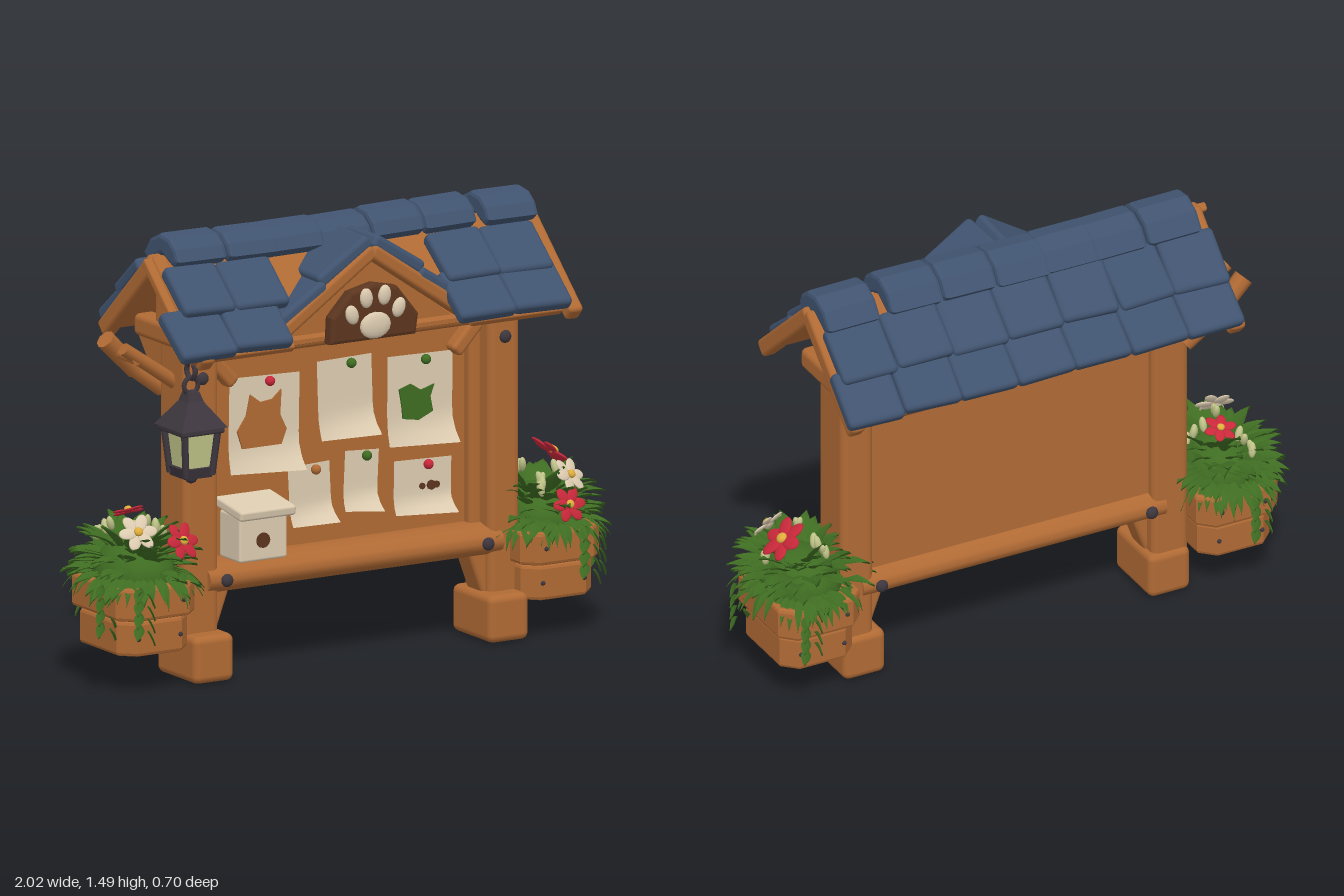
import * as THREE from 'three';
import { mergeGeometries } from 'three/addons/utils/BufferGeometryUtils.js';
import { RoundedBoxGeometry } from 'three/addons/geometries/RoundedBoxGeometry.js';

const paint = (name, color, side = THREE.FrontSide) => {
  const m = new THREE.MeshStandardMaterial({ color, side });
  m.name = name;
  return m;
};
const wood = paint('wood', 0xb06a34), slate = paint('slate', 0x40536f), darkWood = paint('dark wood', 0x5c361f);
const iron = paint('iron', 0x3d363e), cream = paint('cream', 0xdccbb0, THREE.DoubleSide);
const glass = paint('pale glass', 0xc0c488), green = paint('leaf green', 0x3f6d22, THREE.DoubleSide);
const red = paint('red', 0xc9283a), yellow = paint('yellow', 0xe0ae3c);

let seed = 7;
const rnd = (a = 0, b = 1) => {
  seed = (seed * 16807) % 2147483647;
  return a + (b - a) * seed / 2147483647;
};
const V = (x, y, z) => new THREE.Vector3(x, y, z);

function add(parent, name, geo, mat, x = 0, y = 0, z = 0, rx = 0, ry = 0, rz = 0) {
  const m = new THREE.Mesh(geo, mat);
  m.name = name;
  m.position.set(x, y, z);
  m.rotation.set(rx, ry, rz);
  parent.add(m);
  return m;
}
const block = (w, h, d, r = 0.015) => new RoundedBoxGeometry(w, h, d, 2, Math.min(r, w / 2.1, h / 2.1, d / 2.1));
const outline = pts => new THREE.Shape(pts.map(p => new THREE.Vector2(p[0], p[1])));
const slab = (pts, depth, bevel = 0.008) => new THREE.ExtrudeGeometry(outline(pts), {
  depth: depth - 2 * bevel, bevelEnabled: bevel > 0, bevelSize: bevel, bevelThickness: bevel,
  bevelOffset: -bevel, bevelSegments: 2 }).translate(0, 0, bevel);
// profile given as [z, y], extruded along +x
const slabX = (pts, depth, bevel) => slab(pts.map(p => [-p[0], p[1]]).reverse(), depth, bevel).rotateY(Math.PI / 2);
const ball = (r, sx = 1, sy = 1, sz = 1) => new THREE.SphereGeometry(r, 12, 8).scale(sx, sy, sz);
// square frustum with hard edges, a and b are the top and bottom half widths
function frustum(a, b, h) {
  const g = new THREE.CylinderGeometry(a * Math.SQRT2, b * Math.SQRT2, h, 4).rotateY(Math.PI / 4).toNonIndexed();
  g.computeVertexNormals();
  return g;
}
function rod(parent, name, a, b, r1, r2, mat) {
  const d = b.clone().sub(a), m = add(parent, name, new THREE.CylinderGeometry(r2, r1, d.length(), 8), mat);
  m.position.copy(a).addScaledVector(d, 0.5);
  m.quaternion.setFromUnitVectors(V(0, 1, 0), d.normalize());
}

function buildFrame(g) {
  for (const [x, w, s] of [[-0.545, 0.135, -1], [0.62, 0.12, 1]]) {
    add(g, 'post', block(w, 1.05, 0.17, 0.025), wood, x, 0.62, 0.04);
    add(g, 'foot', block(0.155, 0.16, 0.25, 0.025), wood, x - s * 0.015 - 0.005, 0.08, 0.065);
    add(g, 'footBrace', block(0.07, 0.2, 0.1), wood, x - s * 0.06, 0.22, 0.05, 0, 0, s * 0.35);
    add(g, 'topBrace', block(0.05, 0.17, 0.06), wood, x - s * 0.1, 1.03, 0.05, 0, 0, s * -0.75);
    add(g, 'innerTrim', block(0.05, 0.72, 0.07), wood, x - s * 0.075, 0.73, 0.03);
    add(g, 'eaveBracket', slabX([[-0.03, 0.99], [-0.11, 0.99], [-0.22, 1.13], [-0.03, 1.13]], 0.1), wood, x - 0.05);
    for (const [y, z] of [[1.015, 0.125], [0.33, 0.15], [0.33, -0.06]])
      add(g, 'bolt', ball(0.022, 1, 1, 0.7), iron, y > 1 ? x : x - s * 0.08, y, z);
  }
  add(g, 'bottomBeam', new THREE.CylinderGeometry(0.057, 0.057, 1.13, 14).rotateZ(Math.PI / 2).scale(1, 1, 1.8), wood, 0.04, 0.33, 0.045);
  add(g, 'topBeam', block(1.1, 0.08, 0.13, 0.025), wood, 0.04, 1.105, 0.06);
  add(g, 'backBoard', block(1.1, 0.8, 0.04, 0.01), wood, 0.04, 0.73, 0.01);
  add(g, 'attic', slabX([[-0.19, 1.12], [0.2, 1.12], [0.01, 1.36]], 1.2), wood, -0.56);
}

function buildRoof(g) {
  const tile = (name, x, y, z, w, len, rx) =>
    add(g, name, block(w * rnd(0.97, 1.02), 0.05, len, 0.018), slate, x, y + rnd(-0.006, 0.006), z, rx, rnd(-0.05, 0.05), rnd(-0.03, 0.03));
  // overlapping slates on both slopes, leaving room for the front gable
  for (const s of [1, -1]) {
    const rows = [[0.16, 1.315, s > 0 ? -0.68 : -0.66, s > 0 ? 0.74 : 0.78, 0.25],
      [0.262, 1.205, s > 0 ? -0.75 : -0.66, s > 0 ? 0.75 : 0.81, 0.28]];
    for (const [z, y, x0, x1, gap] of rows) for (let i = 0; i < 7; i++) {
      const w = (x1 - x0) / 7, x = x0 + w * (i + 0.5);
      if (s > 0 && Math.abs(x - 0.04) < gap) continue;
      tile('slate', x, y, s * z - 0.005, w, 0.2, s * 0.68);
    }
    // boards under the slates
    const boards = s > 0 ? [[-0.7, -0.3, 0.42], [-0.3, 0.38, 0.23], [0.38, 0.73, 0.42]] : [[-0.64, 0.78, 0.42]];
    for (const [x0, x1, len] of boards)
      add(g, 'roofBoard', block(x1 - x0, 0.03, len, 0.008), wood, (x0 + x1) / 2, 1.405 - len * 0.34, s * len * 0.36, s * 0.75);
    for (const x of [-0.645, 0.77])
      add(g, 'gableBoard', block(0.055, 0.06, 0.44), wood, x, 1.255, s * 0.155, s * 0.74);
  }
  // ridge caps
  const cap = [[-0.13, 1.395], [-0.09, 1.45], [-0.03, 1.478], [0.03, 1.47], [0.07, 1.44], [0.09, 1.4], [0.06, 1.375], [-0.02, 1.41], [-0.1, 1.365]];
  for (let i = 0; i < 7; i++)
    add(g, 'ridgeCap', slabX(cap, 0.196, 0.014), slate, -0.635 + i * 0.2, rnd(-0.006, 0.006), 0, 0, 0, rnd(-0.02, 0.02));
  for (const x of [-0.6, 0.7]) {
    add(g, 'tieBeam', block(0.08, 0.075, 0.3, 0.02), wood, x, 1.155, -0.01);
    add(g, 'kingPost', block(0.06, 0.2, 0.07), wood, x, 1.28, -0.005);
  }
  // front gable with its own slates
  add(g, 'gableWall', slab([[-0.34, 1.1], [0.42, 1.1], [0.04, 1.38]], 0.19, 0.005), wood);
  for (const s of [-1, 1]) {
    for (const [dx, y, z] of [[0.27, 1.24, 0.125], [0.1, 1.37, 0.12]])
      add(g, 'gableSlate', block(0.23, 0.05, 0.24, 0.018), slate, 0.04 + s * dx, y, z, 0, s * 0.03, -s * (0.6 + rnd(-0.04, 0.04)));
    add(g, 'gableTrim', block(0.51, 0.05, 0.08), wood, 0.04 + s * 0.205, 1.255, 0.21, 0, 0, -s * 0.6);
  }
}

function buildSign(g) {
  add(g, 'signBoard', slab([[-0.13, 1.1], [0.2, 1.1], [0.21, 1.17], [0.13, 1.27], [0.04, 1.29], [-0.05, 1.27], [-0.125, 1.19]], 0.05, 0.012), darkWood, 0, 0, 0.205);
  add(g, 'pawPad', ball(0.06, 1, 0.75, 0.25), cream, 0.04, 1.15, 0.256);
  for (const [x, y, r] of [[-0.05, 1.195, 0.35], [0.005, 1.245, 0.1], [0.075, 1.248, -0.1], [0.13, 1.2, -0.35]])
    add(g, 'pawToe', ball(0.034, 0.72, 1, 0.4), cream, x, y, 0.256, 0, 0, r);
}

function buildNotices(g) {
  const pin = (x, y, mat) => add(g, 'pin', ball(0.017), mat, x, y, 0.068);
  // each: centre x, centre y, width, height, tilt, pin colour
  const sheets = [[-0.26, 0.815, 0.27, 0.32, -0.03, red], [0.053, 0.865, 0.21, 0.265, 0.02, green], [0.34, 0.825, 0.25, 0.3, -0.02, green],
    [-0.083, 0.555, 0.16, 0.2, 0.04, wood], [0.113, 0.578, 0.13, 0.2, -0.06, green], [0.35, 0.53, 0.22, 0.18, -0.03, red]];
  for (const [x, y, w, h, tilt, mat] of sheets) {
    const p = new THREE.PlaneGeometry(w, h, 6, 8), a = p.attributes.position;
    for (let i = 0; i < a.count; i++) { // curled lower edge
      const t = a.getY(i) / h + 0.5, u = a.getX(i) / w;
      a.setZ(i, 0.3 * Math.max(0, 0.35 - t) ** 2 * (1 + u));
    }
    p.computeVertexNormals();
    add(g, 'notice', p, cream, x, y, 0.045, -0.02, 0, tilt);
    pin(x + 0.01, y + h / 2 - 0.015, mat);
  }
  const cat = [[-0.35, 0.74], [-0.2, 0.74], [-0.18, 0.79], [-0.205, 0.84], [-0.2, 0.925], [-0.235, 0.895], [-0.28, 0.89], [-0.32, 0.92], [-0.335, 0.85], [-0.37, 0.8]];
  add(g, 'catPicture', slab(cat, 0.006, 0), wood, 0, 0, 0.053);
  const leafPic = [[0.27, 0.765], [0.33, 0.755], [0.385, 0.78], [0.375, 0.83], [0.39, 0.87], [0.34, 0.855], [0.3, 0.88], [0.255, 0.865], [0.265, 0.81]];
  add(g, 'greenPicture', slab(leafPic, 0.006, 0), green, 0, 0, 0.05);
  for (const [x, r] of [[0.345, 0.011], [0.38, 0.017], [0.4, 0.012]])
    add(g, 'smallPicture', new THREE.CylinderGeometry(r, r, 0.006, 8).rotateX(Math.PI / 2), darkWood, x, 0.53, 0.053);
  // little wooden collection box
  add(g, 'boxBody', block(0.185, 0.16, 0.13, 0.01), cream, -0.337, 0.465, 0.105);
  add(g, 'boxLid', block(0.215, 0.035, 0.17, 0.01), cream, -0.335, 0.56, 0.115, 0.15);
  add(g, 'boxHole', new THREE.CylinderGeometry(0.026, 0.026, 0.006, 12).rotateX(Math.PI / 2), darkWood, -0.34, 0.455, 0.171);
}

function buildLantern(g) {
  const l = new THREE.Group();
  l.name = 'lantern';
  l.position.set(-0.672, 0, 0.26);
  g.add(l);
  add(l, 'lanternGlass', frustum(0.058, 0.044, 0.16), glass, 0, 0.82);
  add(l, 'lanternRoof', frustum(0.025, 0.088, 0.09), iron, 0, 0.945);
  add(l, 'lanternRim', block(0.165, 0.025, 0.165, 0.008), iron, 0, 0.893);
  add(l, 'lanternTop', frustum(0.02, 0.03, 0.03), iron, 0, 1);
  add(l, 'lanternBase', frustum(0.06, 0.05, 0.035), iron, 0, 0.748);
  add(l, 'lanternKnob', ball(0.022), iron, 0, 0.727);
  for (const sx of [-1, 1]) for (const sz of [-1, 1])
    rod(l, 'lanternBar', V(sx * 0.05, 0.74, sz * 0.05), V(sx * 0.065, 0.9, sz * 0.065), 0.012, 0.012, iron);
  for (const [y, ry] of [[1.035, 0], [1.085, Math.PI / 2]])
    add(l, 'chainRing', new THREE.TorusGeometry(0.027, 0.009, 6, 14), iron, 0, y, 0, 0, ry);
  // branch arms beside the post
  rod(g, 'branch', V(-0.58, 0.95, -0.07), V(-0.69, 1.03, -0.08), 0.03, 0.028, wood);
  rod(g, 'branch', V(-0.68, 1.02, -0.08), V(-0.8, 1.14, -0.07), 0.03, 0.034, wood);
  rod(g, 'branch', V(-0.58, 0.98, 0.04), V(-0.8, 1.13, 0.045), 0.024, 0.022, wood);
  rod(g, 'branchLink', V(-0.755, 1.09, -0.09), V(-0.755, 1.09, 0.06), 0.018, 0.018, wood);
}

// pointed leaf with a fold and a droop, placed at a base along a direction
function leaf(base, dir, len, width, droop) {
  const p = new THREE.PlaneGeometry(1, 1, 2, 5), a = p.attributes.position;
  for (let i = 0; i < a.count; i++) {
    const t = a.getY(i) + 0.5, u = a.getX(i);
    a.setXYZ(i, u * width * Math.sin(Math.PI * Math.pow(t, 0.8)), t * len, Math.abs(u) * width * 0.3 - droop * len * t * t);
  }
  p.computeVertexNormals();
  const y = dir.clone().normalize(), x = y.clone().cross(V(0.01, 1, 0.02)).normalize(), z = x.clone().cross(y);
  return p.applyMatrix4(new THREE.Matrix4().makeBasis(x, y, z).setPosition(base));
}

function flower(parent, pos, normal, r, mat) {
  const f = new THREE.Group();
  f.name = 'flower';
  f.position.copy(pos);
  f.quaternion.setFromUnitVectors(V(0, 0, 1), normal.normalize());
  for (let i = 0; i < 6; i++) {
    const a = i * Math.PI / 3;
    add(f, 'petal', ball(r * 0.5, 1, 0.62, 0.18), mat, Math.cos(a) * r * 0.55, Math.sin(a) * r * 0.55, 0.004 * (i % 2), 0, 0, a);
  }
  add(f, 'flowerCentre', ball(r * 0.24, 1, 1, 0.7), yellow, 0, 0, 0.01);
  parent.add(f);
}

function buildPlanter(g, name, cx, s, blooms) {
  const p = new THREE.Group();
  p.name = name;
  p.position.set(cx, 0, 0.05);
  g.add(p);
  const plan = (w, d, c) => [[-w, -d + c], [-w + c, -d], [w - c, -d], [w, -d + c], [w, d - c], [w - c, d], [-w + c, d], [-w, d - c]];
  for (const [y, h, w, d] of [[0.13, 0.118, 0.135, 0.165], [0.253, 0.112, 0.152, 0.187]])
    add(p, 'planterBoards', slab(plan(w, d, 0.05), h, 0.012).rotateX(-Math.PI / 2), wood, 0, y);
  for (const y of [0.19, 0.31]) for (const x of [-0.08, 0.08])
    for (const z of [-1, 1]) add(p, 'nail', ball(0.008), iron, x, y, z * (y > 0.25 ? 0.187 : 0.165));
  add(p, 'foliageCore', ball(1, 0.135, 0.12, 0.165), green, 0, 0.37);
  const leaves = [];
  for (let i = 0; i < 95; i++) { // dome of broad leaves
    const a = i * 2.4, e = Math.asin(rnd(0.02, 0.92)), c = Math.cos(e);
    const dir = V(Math.cos(a) * c, Math.sin(e) * 0.9, Math.sin(a) * c);
    const base = V(dir.x * 0.11, 0.36 + dir.y * 0.13, dir.z * 0.14);
    leaves.push(leaf(base, dir.add(V(0, rnd(-0.1, 0.3), 0)), rnd(0.09, 0.13), rnd(0.05, 0.075), rnd(0.2, 0.6)));
  }
  for (let i = 0; i < 44; i++) { // narrow blades over the rim
    const a = i * 0.143 * 3, base = V(Math.cos(a) * 0.13, 0.385, Math.sin(a) * 0.17);
    leaves.push(leaf(base, V(Math.cos(a), rnd(-0.5, 0.1), Math.sin(a)), rnd(0.07, 0.1), 0.028, 0.7));
  }
  for (const [x, z] of [[s * 0.08, 0.2], [s * 0.06, -0.2], [s * 0.165, 0.1]]) // trailing vines
    for (let i = 0; i < 8; i++)
      leaves.push(leaf(V(x + (i % 2 - 0.5) * 0.02, 0.37 - i * 0.021, z), V((i % 2 - 0.5) * 1.2, -0.9, z * 1.5), 0.055, 0.04, 0.2));
  add(p, 'leaves', mergeGeometries(leaves), green);
  for (let i = 0; i < 12; i++) { // unopened buds
    const a = i * 2.1, r = rnd(0.35, 0.9);
    add(p, 'bud', ball(0.016, 0.8, 1.7, 0.8), glass, Math.cos(a) * r * 0.14, 0.55 - r * r * 0.08, Math.sin(a) * r * 0.18, rnd(-0.4, 0.4), 0, rnd(-0.4, 0.4));
  }
  for (const [x, y, z, n, r, mat] of blooms) flower(p, V(x, y, z), V(...n), r, mat);
}

export function createModel() {
  const g = new THREE.Group();
  g.name = 'noticeBoard';
  buildFrame(g);
  buildRoof(g);
  buildSign(g);
  buildNotices(g);
  buildLantern(g);
  buildPlanter(g, 'leftPlanter', 0.79, 1, [[0.085, 0.57, -0.05, [0.7, 0.8, 0], 0.08, red],
    [0.05, 0.53, 0.12, [0.3, 0.6, 0.8], 0.062, cream], [0.005, 0.45, 0.19, [0, 0.4, 1], 0.06, red]]);
  buildPlanter(g, 'rightPlanter', -0.765, -1, [[-0.05, 0.535, 0.11, [-0.2, 0.6, 0.8], 0.065, cream],
    [0.09, 0.5, 0.16, [0.2, 0.5, 1], 0.065, red], [0.03, 0.56, -0.08, [0, 0.9, -0.4], 0.055, red]]);
  return g;
}
